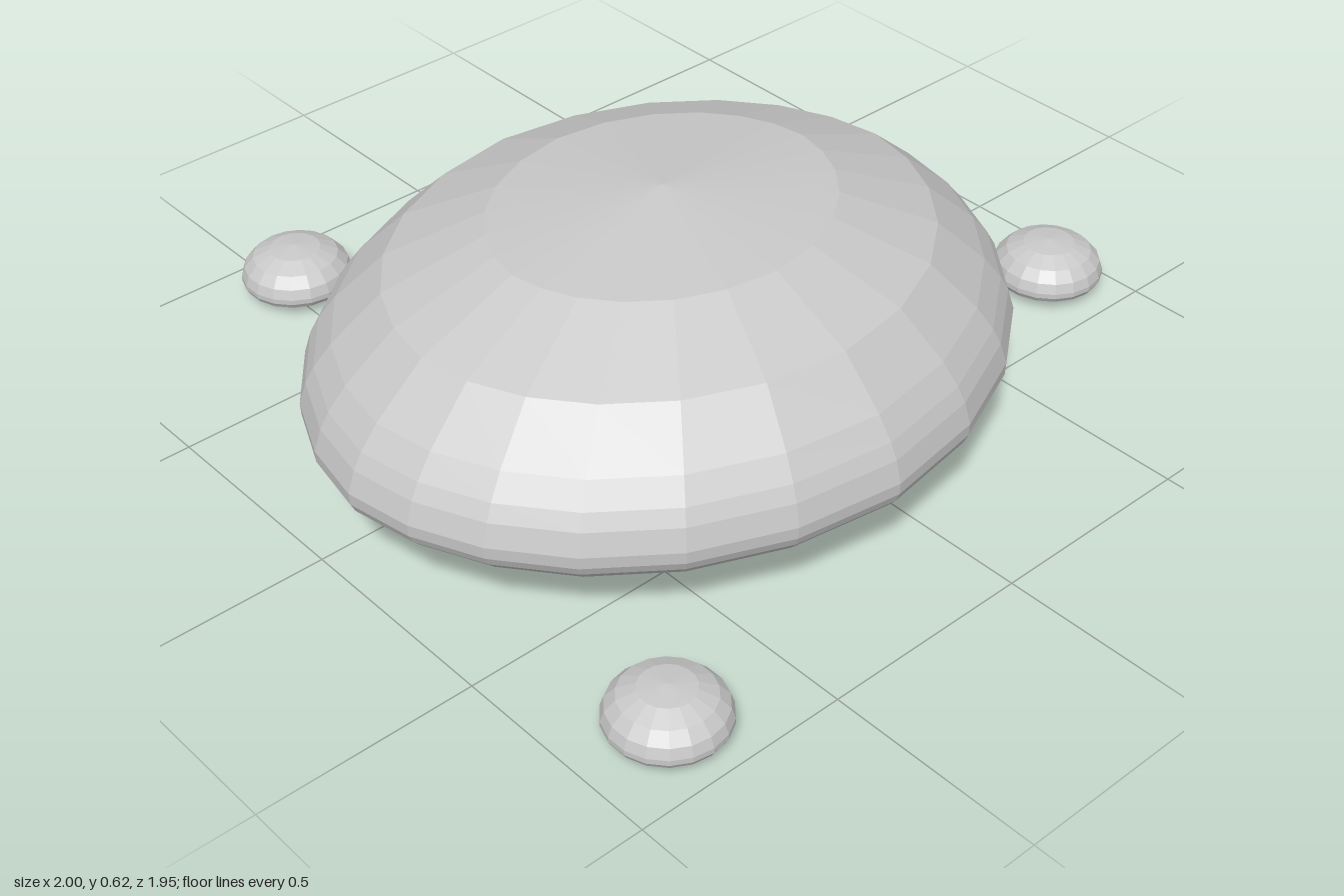
import * as THREE from 'three';

const stone = new THREE.MeshStandardMaterial({ color: 0xc8c8c8, flatShading: true });
stone.name = 'light grey stone';

// Revolve a bottom-to-top profile of [radius, height] pairs.
function revolve(profile, sides) {
  return new THREE.LatheGeometry(profile.map(([r, y]) => new THREE.Vector2(r, y)), sides);
}

// Large flattened boulder: an oval outline, slightly narrowed on the diagonals.
function boulderGeometry(radiusX, radiusZ) {
  const geometry = revolve([
    [0, 0], [0.695, 0.065], [0.895, 0.14], [0.955, 0.175], [0.985, 0.2], [0.998, 0.222], [1, 0.25],
    [0.98, 0.3], [0.955, 0.335], [0.905, 0.385], [0.765, 0.485], [0.485, 0.577], [0, 0.62],
  ], 24);
  const p = geometry.attributes.position;
  for (let i = 0; i < p.count; i++) {
    const r = Math.hypot(p.getX(i), p.getZ(i));
    const a = Math.atan2(p.getX(i), p.getZ(i));
    const bend = Math.sin(2 * a);
    const angle = a + 0.077 * bend;
    const radius = r * (1 - 0.018 * Math.abs(bend));
    p.setXYZ(i, radius * radiusX * Math.sin(angle), p.getY(i), radius * radiusZ * Math.cos(angle));
  }
  geometry.computeVertexNormals();
  return geometry;
}

export function createModel() {
  const model = new THREE.Group();
  model.name = 'boulderWithPebbles';

  const boulder = new THREE.Mesh(boulderGeometry(0.832, 0.707), stone);
  boulder.name = 'boulder';
  boulder.position.set(-0.168, 0, 0.125);
  model.add(boulder);

  // Three small domed pebbles scattered around the boulder
  const pebbleGeometry = revolve([
    [0, 0.003], [0.06, 0.008], [0.105, 0.018], [0.123, 0.028], [0.13, 0.04], [0.13, 0.052],
    [0.122, 0.075], [0.1, 0.099], [0.06, 0.117], [0, 0.124],
  ], 18);
  const spots = { frontPebble: [-0.8, 0.845], backPebble: [-0.47, -0.845], leftPebble: [0.87, 0.33] };
  for (const [name, [x, z]] of Object.entries(spots)) {
    const pebble = new THREE.Mesh(pebbleGeometry, stone);
    pebble.name = name;
    pebble.position.set(x, 0, z);
    model.add(pebble);
  }
  return model;
}
